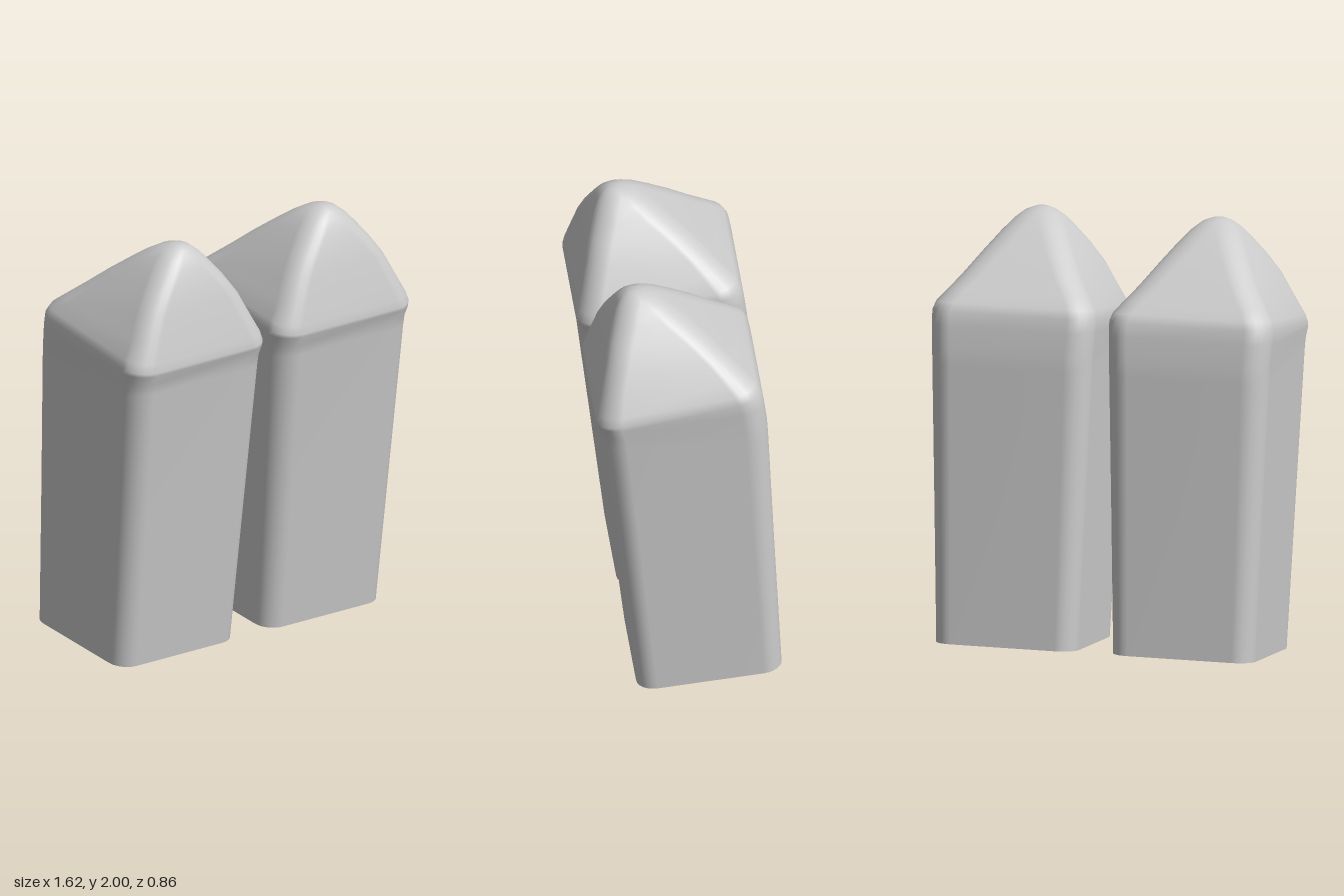
import * as THREE from 'three';

// Cross-sections from the open bottom to the tip:
// half width, front z, back z, front y, back y, corner radius
const RINGS = [
  [0.338, 0.24, -0.43, 0, 0.065, 0.09],
  [0.36, 0.325, -0.395, 0.72, 0.74, 0.1],
  [0.381, 0.403, -0.365, 1.38, 1.36, 0.11],
  [0.383, 0.411, -0.36, 1.43, 1.43, 0.11],
  [0.389, 0.429, -0.345, 1.475, 1.54, 0.11],
  [0.39, 0.43, -0.332, 1.49, 1.605, 0.11],
  [0.378, 0.424, -0.31, 1.53, 1.642, 0.11],
  [0.33, 0.402, -0.25, 1.625, 1.692, 0.1],
  [0.28, 0.377, -0.19, 1.735, 1.744, 0.1],
  [0.22, 0.352, -0.1, 1.825, 1.822, 0.1],
  [0.16, 0.325, 0, 1.9, 1.9, 0.1],
  [0.115, 0.302, 0.07, 1.95, 1.95, 0.09],
  [0.075, 0.277, 0.128, 1.98, 1.983, 0.07],
  [0.035, 0.25, 0.18, 1.996, 1.997, 0.035],
];
const APEX = [0, 0.215, 2];
const CORNER = 6; // segments per rounded corner

// Tilted rounded rectangle; y follows z so the section leans
function ringPoints([hw, zf, zb, yf, yb, r]) {
  const points = [];
  const mid = (zf + zb) / 2, hd = (zf - zb) / 2;
  for (let c = 0; c < 4; c++) {
    const sx = c === 0 || c === 3 ? 1 : -1;
    const sz = c < 2 ? 1 : -1;
    for (let i = 0; i <= CORNER; i++) {
      const a = (c + i / CORNER) * Math.PI / 2;
      const x = sx * (hw - r) + r * Math.cos(a);
      const z = mid + sz * Math.max(hd - r, 0) + Math.min(r, hd) * Math.sin(a);
      points.push(x, yb + (yf - yb) * (z - zb) / (zf - zb), z);
    }
  }
  return points;
}

function postGeometry() {
  const positions = RINGS.flatMap(ringPoints);
  const n = 4 * (CORNER + 1);
  const index = [];
  for (let k = 0; k < RINGS.length; k++) {
    for (let i = 0; i < n; i++) {
      const a = k * n + i, b = k * n + (i + 1) % n;
      if (k < RINGS.length - 1) index.push(a, a + n, b, b, a + n, b + n);
      else index.push(a, RINGS.length * n, b); // tip fan
    }
  }
  positions.push(APEX[0], APEX[2], APEX[1]);
  const geometry = new THREE.BufferGeometry();
  geometry.setAttribute('position', new THREE.Float32BufferAttribute(positions, 3));
  geometry.setIndex(index);
  geometry.computeVertexNormals();
  return geometry;
}

export function createModel() {
  const group = new THREE.Group();
  group.name = 'pairOfPointedPosts';
  const material = new THREE.MeshStandardMaterial({ color: 0xcccccc, side: THREE.DoubleSide });
  const geometry = postGeometry();
  // Two matching hollow posts, side by side
  for (const [name, x] of [['leftPost', 0.422], ['rightPost', -0.422]]) {
    const post = new THREE.Mesh(geometry, material);
    post.name = name;
    post.position.x = x;
    group.add(post);
  }
  return group;
}
